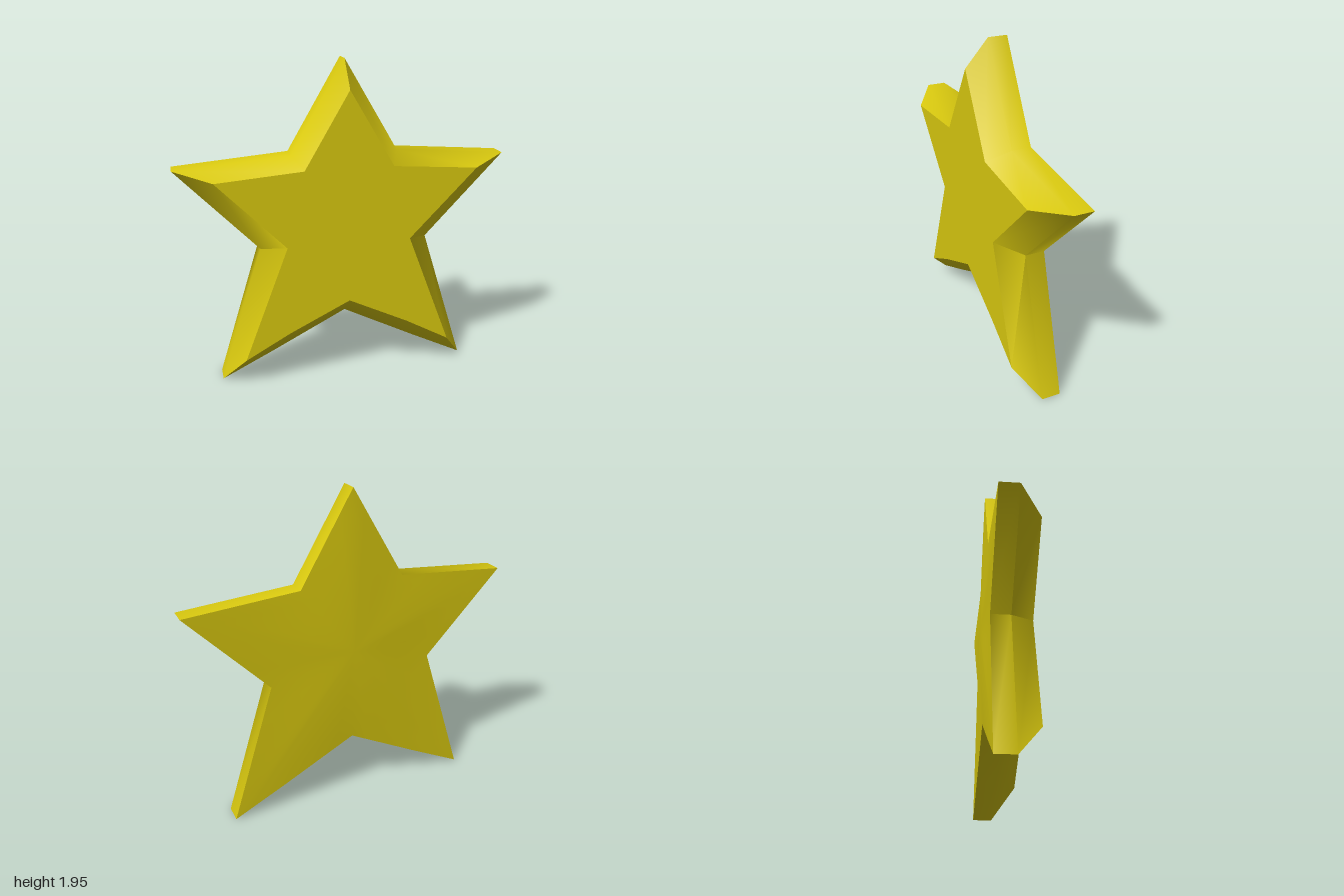
import * as THREE from 'three';
import { toCreasedNormals, mergeVertices } from 'three/addons/utils/BufferGeometryUtils.js';

const CENTRE_Y = 0.97;

// Right half of each star loop, from the top tip clockwise to the bottom notch
const OUTER = [[0, 1.945], [0.32, 1.4], [1, 1.345], [0.515, 0.84], [0.775, 0], [0.45, 0.16], [0, 0.39]];
const INNER = [[0, 1.785], [0.265, 1.335], [0.78, 1.295], [0.373, 0.88], [0.64, 0.18], [0.37, 0.33], [0, 0.51]];

// Complete a half loop by mirroring it across x = 0
const mirrorLoop = (half) => [...half, ...half.slice(1, -1).reverse().map(([x, y]) => [-x, y])];

// Split each side of a loop so curved surfaces can bend along it
function subdivide(loop, n) {
  return loop.flatMap(([x, y], i) => {
    const [u, v] = loop[(i + 1) % loop.length];
    return Array.from({ length: n }, (_, k) => [x + (u - x) * k / n, y + (v - y) * k / n]);
  });
}

// Join successive clockwise loops of 3D points, ordered front to back
function loft(loops) {
  const n = loops[0].length;
  const index = [];
  for (let r = 0; r < loops.length - 1; r++) {
    for (let i = 0; i < n; i++) {
      const a = r * n + i, b = r * n + (i + 1) % n;
      index.push(a, b, a + n, b, b + n, a + n);
    }
  }
  const geometry = new THREE.BufferGeometry();
  geometry.setAttribute('position', new THREE.Float32BufferAttribute(loops.flat(2), 3));
  geometry.setIndex(index);
  return geometry;
}

export function createModel() {
  const group = new THREE.Group();
  group.name = 'star';
  const yellow = new THREE.MeshStandardMaterial({ color: 0xd8c80f });
  yellow.name = 'golden yellow';
  const add = (name, geometry) => {
    const mesh = new THREE.Mesh(geometry, yellow);
    mesh.name = name;
    group.add(mesh);
  };

  const outer = mirrorLoop(OUTER), inner = mirrorLoop(INNER);
  const atZ = (loop, z) => loop.map(([x, y]) => [x, y, z]);

  // Flat front face
  const face = new THREE.ShapeGeometry(new THREE.Shape(inner.map(([x, y]) => new THREE.Vector2(x, y))));
  add('frontFace', face.translate(0, 0, 0.137));

  // Sloping bevel and upright edge, shaded smoothly except at the tips
  const rim = loft([atZ(inner, 0.137), atZ(outer, 0), atZ(outer, -0.115)]);
  add('bevelledRim', toCreasedNormals(rim, 1.2));

  // Back face, swelling gently towards the middle
  const edge = subdivide(outer, 4);
  const rings = [1, 0.85, 0.7, 0.55, 0.4, 0.25, 0.12, 0].map((t) => edge.map(([x, y]) => {
    const px = x * t, py = CENTRE_Y + (y - CENTRE_Y) * t;
    const swell = 0.018 * (1 - t * t) * Math.exp(-4 * px * px);
    return [px, py, -0.115 - swell];
  }));
  const back = mergeVertices(loft(rings));
  back.computeVertexNormals();
  add('domedBack', back);

  return group;
}
